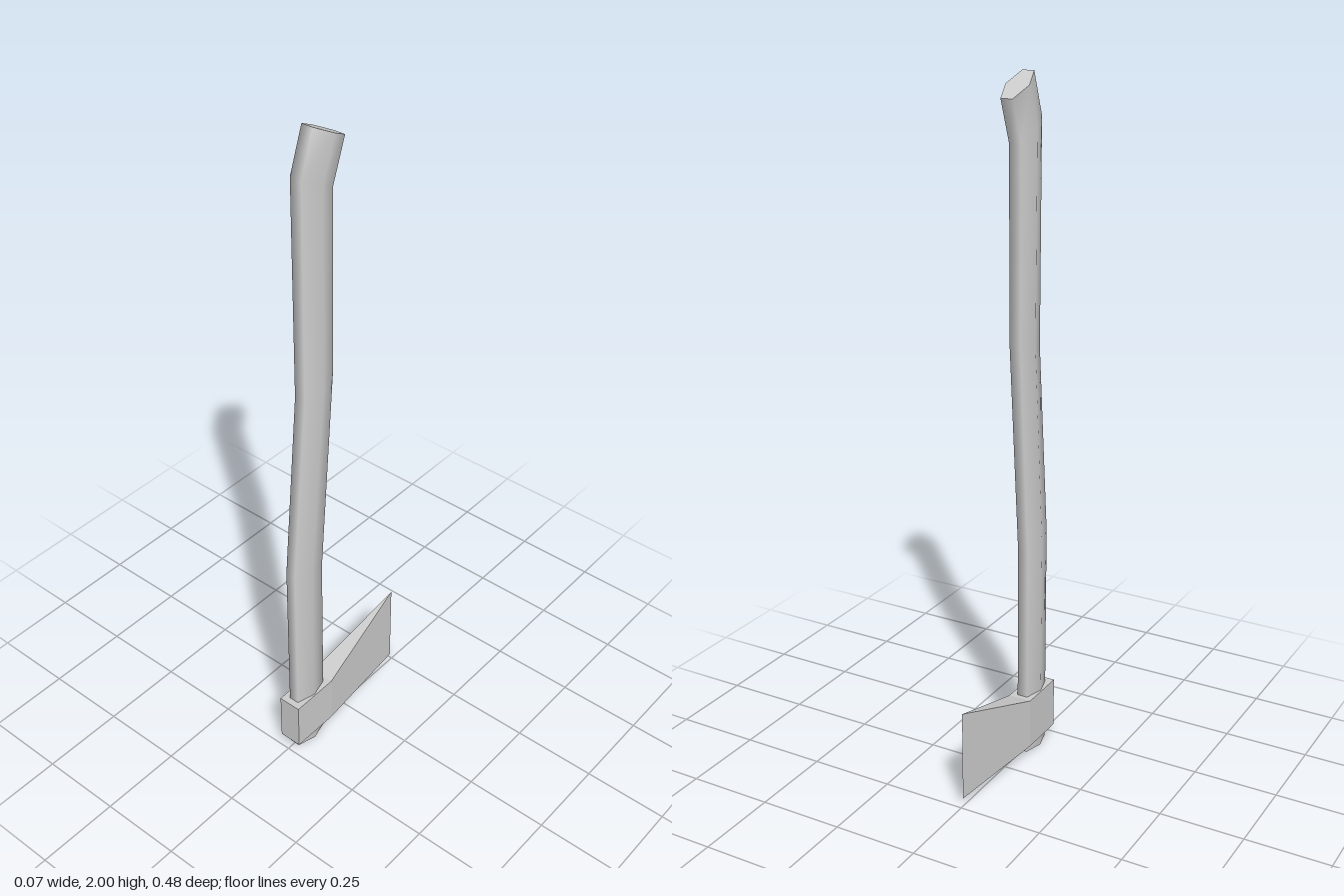
import * as THREE from 'three';

const grey = () => new THREE.MeshStandardMaterial({ color: 0xcccccc });

// Joins rings of equal corner count (counter-clockwise seen from above).
function loft(rings, capStart, capEnd) {
  const n = rings[0].length, index = [];
  const last = (rings.length - 1) * n;
  for (let i = 0; i < rings.length - 1; i++) {
    for (let j = 0; j < n; j++) {
      const a = i * n + j, b = i * n + (j + 1) % n;
      index.push(a, b, b + n, a, b + n, a + n);
    }
  }
  for (let j = 1; j < n - 1; j++) {
    if (capStart) index.push(0, j + 1, j);
    if (capEnd) index.push(last, last + j, last + j + 1);
  }
  const geo = new THREE.BufferGeometry();
  geo.setAttribute('position', new THREE.Float32BufferAttribute(rings.flat(2), 3));
  geo.setIndex(index);
  return geo;
}

// Six-sided handle section, set by its front and back points and half width.
function hexRing([zf, yf, zb, yb, w]) {
  const zm = (zf + zb) / 2, ym = (yf + yb) / 2, f = w * 0.5;
  return [[-f, yf, zf], [f, yf, zf], [w, ym, zm], [f, yb, zb], [-f, yb, zb], [-w, ym, zm]];
}

function createHandle() {
  const group = new THREE.Group();
  group.name = 'handle';
  // front z, front y, back z, back y, half width
  const rings = [
    [0.22, 0, 0.105, 0, 0.031],
    [0.22, 0.68, 0.105, 0.65, 0.031],
    [0.167, 1.25, 0.055, 1.28, 0.033],
    [0.167, 1.88, 0.053, 1.82, 0.035],
    [0.123, 2.0, 0.008, 1.94, 0.035],
  ].map(hexRing);

  // Smooth shaft, rounded into its foot
  const shaftGeo = loft(rings, true, false);
  shaftGeo.computeVertexNormals();
  const shaft = new THREE.Mesh(shaftGeo, grey());
  shaft.name = 'shaft';

  // Flat slanted end of the grip
  const capGeo = loft([rings[rings.length - 1]], false, true);
  capGeo.computeVertexNormals();
  const cap = new THREE.Mesh(capGeo, grey());
  cap.name = 'gripEnd';

  group.add(shaft, cap);
  return group;
}

// Square poll that flares in height and narrows to a sharp edge
function createHead() {
  const outline = (yFront, yMid, yEdge) => [
    [-0.035, yFront, 0.24], [0.035, yFront, 0.24],
    [0.035, yMid, 0.09], [0, yEdge, -0.24], [-0.035, yMid, 0.09],
  ];
  const geo = loft([outline(0.032, 0.032, 0.025), outline(0.185, 0.185, 0.295)], false, false);
  // Top and bottom each split into a flat poll and a sloping cheek
  const index = Array.from(geo.index.array);
  index.push(5, 6, 7, 5, 7, 9, 9, 7, 8);
  index.push(0, 2, 1, 0, 4, 2, 4, 3, 2);
  geo.setIndex(index);
  const flat = geo.toNonIndexed();
  flat.computeVertexNormals();
  const head = new THREE.Mesh(flat, grey());
  head.material.flatShading = true;
  head.name = 'axeHead';
  return head;
}

export function createModel() {
  const model = new THREE.Group();
  model.name = 'axe';
  model.add(createHandle(), createHead());
  return model;
}
